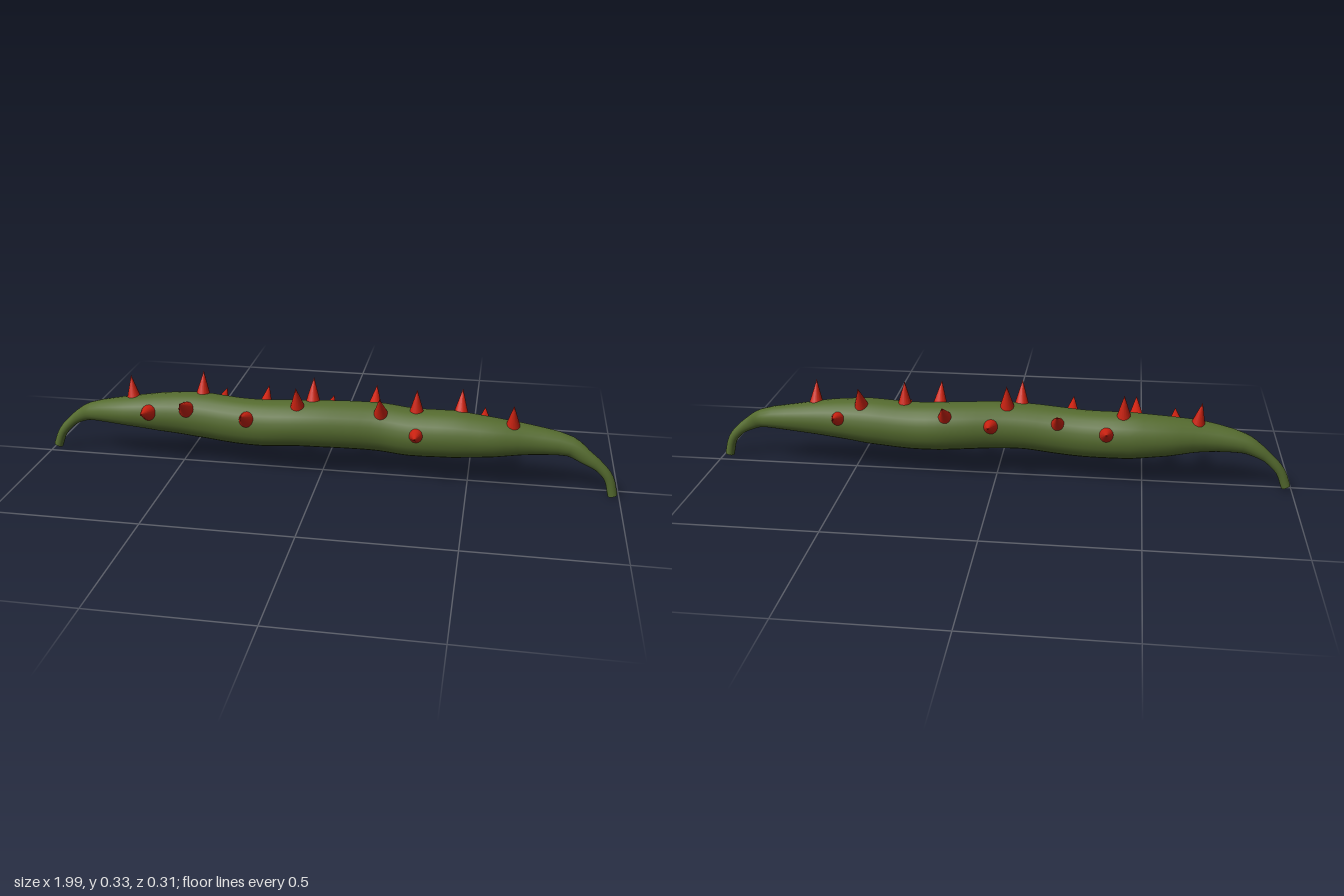
import * as THREE from 'three';

const green = new THREE.MeshStandardMaterial({ color: 0x556b2f });
green.name = 'olive green';
const red = new THREE.MeshStandardMaterial({ color: 0xcc2211 });
red.name = 'spike red';

// Body stations: x, y, z of the spine, then vertical and sideways radius
const STATIONS = [
  [-0.98, 0.018, -0.022, 0.016, 0.016], [-0.957, 0.073, -0.022, 0.016, 0.016],
  [-0.912, 0.12, -0.022, 0.018, 0.016], [-0.87, 0.147, -0.018, 0.026, 0.024],
  [-0.83, 0.163, -0.01, 0.034, 0.034], [-0.7, 0.177, 0, 0.052, 0.056],
  [-0.58, 0.177, -0.012, 0.068, 0.07], [-0.45, 0.175, -0.017, 0.08, 0.077],
  [-0.3, 0.168, 0, 0.081, 0.076], [-0.2, 0.171, 0.012, 0.081, 0.078],
  [-0.1, 0.179, 0.015, 0.079, 0.08], [0, 0.181, 0.01, 0.081, 0.08],
  [0.1, 0.179, -0.002, 0.082, 0.082], [0.2, 0.175, -0.01, 0.083, 0.081],
  [0.3, 0.169, 0, 0.082, 0.081], [0.45, 0.175, 0.01, 0.08, 0.08],
  [0.58, 0.176, 0.017, 0.067, 0.068], [0.7, 0.174, 0.012, 0.051, 0.05],
  [0.83, 0.163, 0.019, 0.034, 0.034], [0.88, 0.138, 0.037, 0.026, 0.018],
  [0.928, 0.107, 0.041, 0.018, 0.016], [0.962, 0.068, 0.043, 0.016, 0.016],
  [0.979, 0.008, 0.043, 0.016, 0.016],
];

const spine = new THREE.CatmullRomCurve3(STATIONS.map(s => new THREE.Vector3(s[0], s[1], s[2])));

// Elliptical rings lofted along the spine, closed by flat ends
function bodyGeometry(steps = 66, sides = 20) {
  const pos = [], idx = [];
  const last = STATIONS.length - 1;
  for (let i = 0; i <= steps; i++) {
    const t = i / steps;
    const k = Math.min(Math.floor(t * last), last - 1), f = t * last - k;
    const ry = THREE.MathUtils.lerp(STATIONS[k][3], STATIONS[k + 1][3], f);
    const rz = THREE.MathUtils.lerp(STATIONS[k][4], STATIONS[k + 1][4], f);
    const c = spine.getPoint(t), d = spine.getTangent(t);
    const len = Math.hypot(d.x, d.y);
    for (let j = 0; j < sides; j++) {
      const a = j / sides * Math.PI * 2;
      const u = Math.cos(a) * ry;
      pos.push(c.x - d.y / len * u, c.y + d.x / len * u, c.z + Math.sin(a) * rz);
    }
  }
  for (let i = 0; i < steps; i++) {
    for (let j = 0; j < sides; j++) {
      const a = i * sides + j, b = i * sides + (j + 1) % sides;
      idx.push(a, b, a + sides, b, b + sides, a + sides);
    }
  }
  for (const ring of [0, steps]) {
    const start = pos.length / 3;
    pos.push(...pos.slice(ring * sides * 3, (ring + 1) * sides * 3));
    for (let j = 1; j < sides - 1; j++) {
      if (ring) idx.push(start, start + j, start + j + 1);
      else idx.push(start, start + j + 1, start + j);
    }
  }
  const g = new THREE.BufferGeometry();
  g.setAttribute('position', new THREE.Float32BufferAttribute(pos, 3));
  g.setIndex(idx);
  g.computeVertexNormals();
  return g;
}

// Spikes: x of the base, then the tip x, y, z
const SPIKES = [
  [-0.67, -0.685, 0.305, -0.02], [-0.43, -0.428, 0.328, -0.045],
  [-0.08, -0.08, 0.327, 0.07], [-0.035, -0.035, 0.336, -0.025],
  [0.202, 0.202, 0.31, 0.078], [0.32, 0.32, 0.326, 0.01],
  [0.465, 0.468, 0.316, -0.055], [0.64, 0.64, 0.305, 0.05],
  [-0.605, -0.605, 0.222, 0.138], [-0.47, -0.47, 0.265, 0.122],
  [-0.25, -0.253, 0.245, 0.152], [0.325, 0.327, 0.205, 0.155],
  [-0.375, -0.375, 0.228, -0.155], [-0.21, -0.21, 0.265, -0.108],
  [0.015, 0.015, 0.228, -0.145], [0.17, 0.17, 0.285, -0.122],
  [0.545, 0.545, 0.228, -0.122],
];

// Spine point at a given x
function spineAt(x) {
  let k = 0;
  while (STATIONS[k + 1][0] < x) k++;
  const a = STATIONS[k], b = STATIONS[k + 1];
  const f = (x - a[0]) / (b[0] - a[0]);
  return new THREE.Vector3(x, a[1] + (b[1] - a[1]) * f, a[2] + (b[2] - a[2]) * f);
}

export function createModel() {
  const model = new THREE.Group();
  model.name = 'spinyVine';

  const body = new THREE.Mesh(bodyGeometry(), green);
  body.name = 'body';
  model.add(body);

  // Spikes stand outward from the spine with their bases sunk in the body
  const height = 0.095;
  const cone = new THREE.ConeGeometry(0.028, height, 16);
  cone.translate(0, -height / 2, 0);
  const spikes = new THREE.Group();
  spikes.name = 'spikes';
  const up = new THREE.Vector3(0, 1, 0);
  for (const [x, tx, ty, tz] of SPIKES) {
    const spike = new THREE.Mesh(cone, red);
    spike.name = 'spike';
    spike.position.set(tx, ty, tz);
    const dir = spike.position.clone().sub(spineAt(x)).normalize();
    spike.quaternion.setFromUnitVectors(up, dir);
    spikes.add(spike);
  }
  model.add(spikes);
  return model;
}
